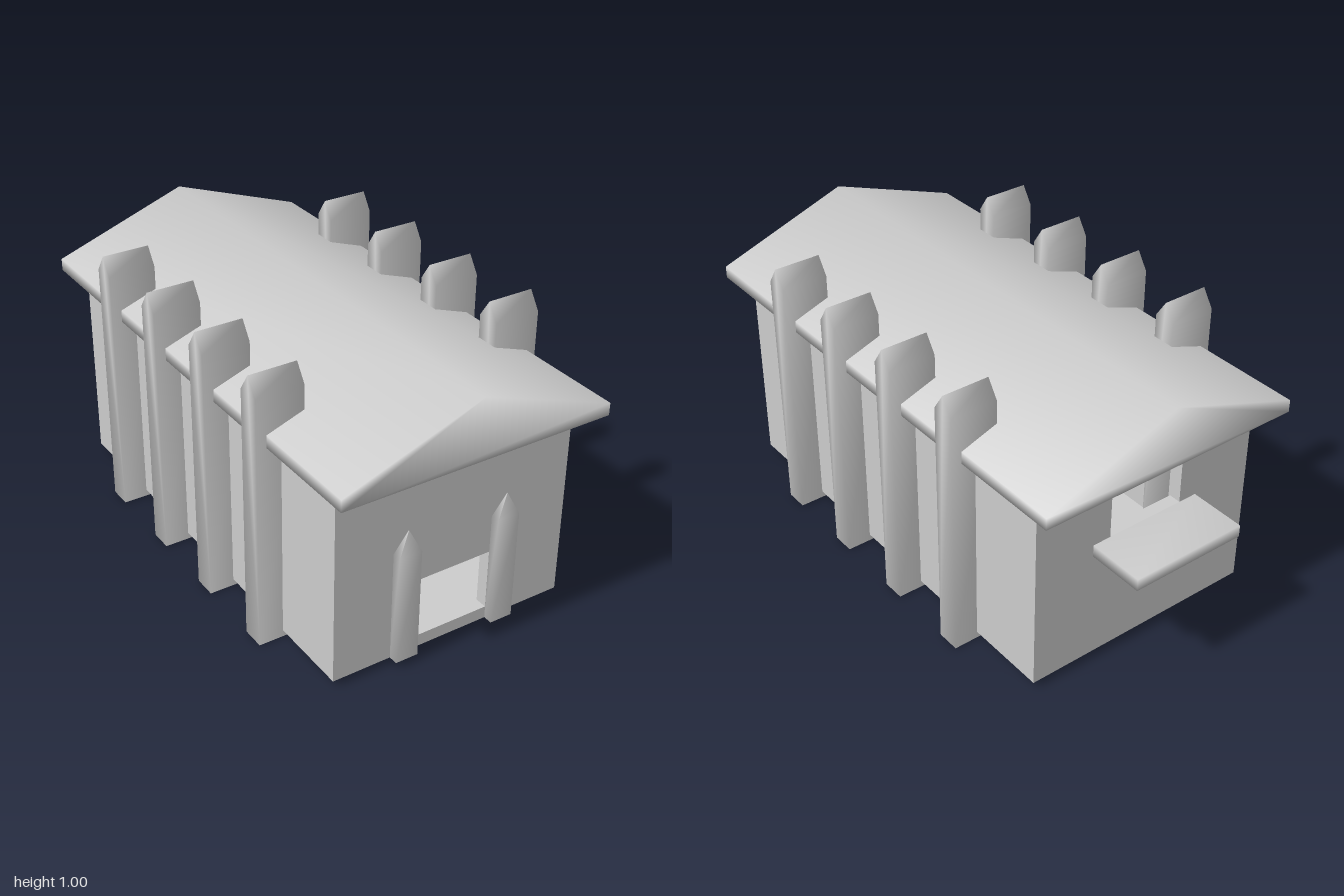
import * as THREE from 'three';
import { mergeVertices } from 'three/addons/utils/BufferGeometryUtils.js';

const material = new THREE.MeshStandardMaterial({ color: 0xcccccc });

// Shares corners so the shading runs softly over the edges
function soften(geometry) {
  geometry.deleteAttribute('normal');
  geometry.deleteAttribute('uv');
  const merged = mergeVertices(geometry, 1e-4);
  merged.computeVertexNormals();
  return merged;
}

function outline(points) {
  return new THREE.Shape(points.map(([x, y]) => new THREE.Vector2(x, y)));
}

function extrude(shape, depth) {
  return new THREE.ExtrudeGeometry(shape, { depth, bevelEnabled: false });
}

function add(parent, name, geometry, x = 0, y = 0, z = 0) {
  const mesh = new THREE.Mesh(geometry, material);
  mesh.name = name;
  mesh.position.set(x, y, z);
  parent.add(mesh);
  return mesh;
}

// Box given by its lower and upper limits
function addBox(parent, name, [x0, x1], [y0, y1], [z0, z1], soft = false) {
  const box = new THREE.BoxGeometry(x1 - x0, y1 - y0, z1 - z0);
  return add(parent, name, soft ? soften(box) : box, (x0 + x1) / 2, (y0 + y1) / 2, (z0 + z1) / 2);
}

export function createModel() {
  const model = new THREE.Group();
  model.name = 'birdHouse';

  const W = 0.455, T = 0.045;
  const bottom = 0.025, top = 0.755, front = 0.89, back = -0.79;

  // Hollow body: floor and side walls
  const body = new THREE.Group();
  body.name = 'body';
  model.add(body);
  addBox(body, 'floor', [-W + T, W - T], [bottom, 0.07], [back + T, front - T]);
  for (const s of [-1, 1]) {
    const xs = s > 0 ? [W - T, W] : [-W, -W + T];
    addBox(body, s > 0 ? 'leftWall' : 'rightWall', xs, [bottom, top], [back + T, front - T]);
  }

  // Front wall with the doorway
  const frontShape = outline([[-W, bottom], [W, bottom], [W, top], [-W, top]]);
  frontShape.holes.push(new THREE.Path(
    [[-0.15, 0.07], [-0.15, 0.295], [0.15, 0.295], [0.15, 0.07]].map(([x, y]) => new THREE.Vector2(x, y))
  ));
  add(body, 'frontWall', extrude(frontShape, T), 0, 0, front - T);

  // Back wall with a window open up to the roof
  const backShape = outline([
    [-W, bottom], [W, bottom], [W, top], [0.15, top],
    [0.15, 0.485], [-0.15, 0.485], [-0.15, top], [-W, top],
  ]);
  add(body, 'backWall', extrude(backShape, T), 0, 0, back);

  // Shelf under the back window
  addBox(model, 'windowShelf', [-0.22, 0.22], [0.44, 0.485], [-1, back], true);

  // Gabled roof
  const roofShape = outline([[-0.508, top], [0.508, top], [0.508, 0.8], [0, 0.98], [-0.508, 0.8]]);
  add(model, 'roof', soften(extrude(roofShape, 1.9)), 0, 0, -0.9);

  // Side posts with ridged tops, four to a side
  const h = 0.043;
  const postShape = outline([[-h, 0], [h, 0], [h, 0.935], [0, 1], [-h, 0.935]]);
  const post = extrude(postShape, 0.175);
  post.translate(0, 0, -0.0875);
  post.rotateY(Math.PI / 2);
  const softPost = soften(post);
  for (const s of [-1, 1]) {
    for (const z of [0.545, 0.217, -0.11, -0.44]) {
      add(model, s > 0 ? 'leftPost' : 'rightPost', softPost, s * 0.4575, 0, z);
    }
  }

  // Pointed door pickets: a box whose upper row narrows to a tip
  const picket = new THREE.BoxGeometry(0.085, 0.495, 0.034, 1, 2, 1);
  const p = picket.attributes.position;
  for (let i = 0; i < p.count; i++) {
    if (p.getY(i) > 0.2) p.setXYZ(i, p.getX(i) * 0.02, p.getY(i), p.getZ(i) * 0.05);
    else if (p.getY(i) > -0.1) p.setY(i, 0.1625);
  }
  const softPicket = soften(picket);
  for (const s of [-1, 1]) {
    add(model, s > 0 ? 'leftDoorPicket' : 'rightDoorPicket', softPicket, s * 0.193, 0.2725, 0.907);
  }

  return model;
}
